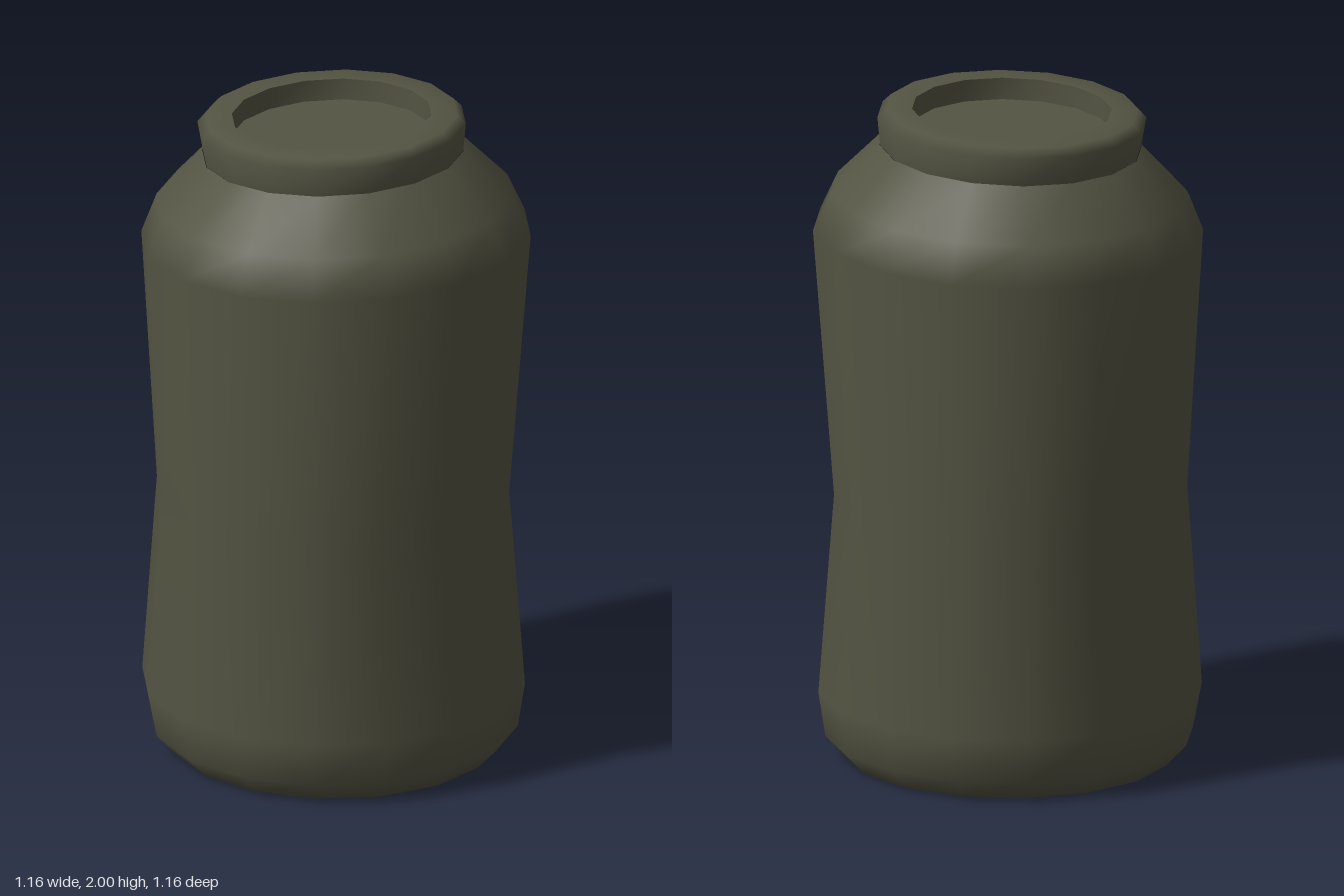
import * as THREE from 'three';

const SIDES = 16;

// Loft of 16-sided rings [radius, centreX, y, slope along x], bottom to top or outside to inside.
// Radius 0 closes the surface to a point.
function loft(rings) {
  const pos = [], index = [];
  for (const [r, cx, y, slope] of rings) {
    for (let i = 0; i < SIDES; i++) {
      const a = (i / SIDES) * Math.PI * 2;
      const dx = r * Math.cos(a);
      pos.push(cx + dx, y + dx * slope, r * Math.sin(a));
    }
  }
  for (let k = 0; k < rings.length - 1; k++) {
    for (let i = 0; i < SIDES; i++) {
      const j = (i + 1) % SIDES;
      const a = k * SIDES + i, b = k * SIDES + j;
      const c = a + SIDES, d = b + SIDES;
      if (rings[k][0] > 0) index.push(a, c, b);
      if (rings[k + 1][0] > 0) index.push(b, c, d);
    }
  }
  // a collapsed ring needs its remaining triangle for each side
  const geo = new THREE.BufferGeometry();
  geo.setAttribute('position', new THREE.Float32BufferAttribute(pos, 3));
  geo.setIndex(index);
  geo.computeVertexNormals();
  return geo;
}

export function createModel() {
  const group = new THREE.Group();
  const olive = new THREE.MeshStandardMaterial({ color: 0x545443 });
  olive.name = 'dark olive';

  const add = (name, rings) => {
    const mesh = new THREE.Mesh(loft(rings), olive);
    mesh.name = name;
    group.add(mesh);
  };

  // Waisted body with rounded foot and slightly tilted shoulder
  add('body', [
    [0, -0.005, 0, 0],
    [0.487, -0.005, 0, 0],
    [0.547, -0.005, 0.065, 0],
    [0.57, -0.008, 0.2, 0],
    [0.525, -0.01, 0.81, 0],
    [0.58, 0, 1.61, 0.035],
    [0.53, -0.005, 1.728, 0.035],
    [0.39, -0.01, 1.873, 0.045],
  ]);

  // Flared collar with rounded top
  add('rim', [
    [0.388, -0.01, 1.872, 0.045],
    [0.4, -0.015, 1.96, 0.04],
    [0.375, -0.015, 1.985, 0.04],
    [0.297, -0.015, 1.986, 0.04],
  ]);

  // Recessed lid inside the collar
  add('rimInnerWall', [
    [0.297, -0.015, 1.986, 0.04],
    [0.297, -0.015, 1.92, 0.04],
  ]);
  add('lid', [
    [0.297, -0.015, 1.92, 0.04],
    [0, -0.015, 1.92, 0.04],
  ]);

  return group;
}
